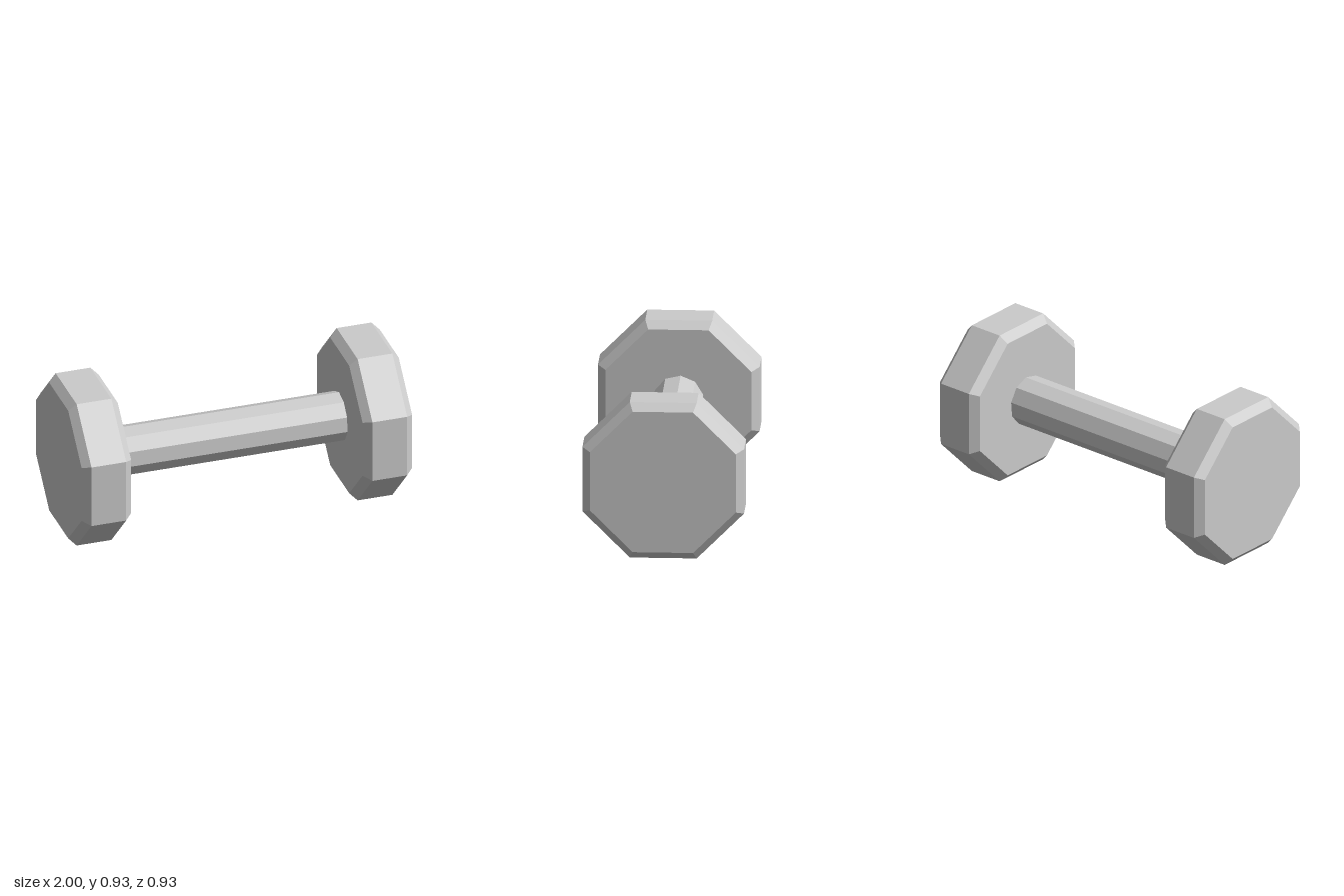
import * as THREE from 'three';

const CENTER_Y = 0.465;
const deg = THREE.MathUtils.degToRad;

export function createModel() {
  const group = new THREE.Group();
  const material = new THREE.MeshStandardMaterial({ color: 0xcccccc, flatShading: true });

  const add = (name, geometry, x) => {
    geometry.rotateZ(-Math.PI / 2); // lay the axis along x
    const mesh = new THREE.Mesh(geometry, material);
    mesh.name = name;
    mesh.position.set(x, CENTER_Y, 0);
    group.add(mesh);
  };

  // Ten-sided grip bar, open where it meets the weights
  add('gripBar', new THREE.CylinderGeometry(0.147, 0.147, 1.4, 10, 1, true, deg(-95)), 0);

  // Octagonal weights with bevelled rims; radii are given across the flats
  const toCorner = 1 / Math.cos(Math.PI / 8);
  const profile = [[0, -0.15], [0.42, -0.15], [0.465, -0.105], [0.465, 0.105], [0.42, 0.15], [0, 0.15]]
    .map(([r, h]) => new THREE.Vector2(r * toCorner, h));
  for (const [name, side] of [['leftWeight', 1], ['rightWeight', -1]]) {
    add(name, new THREE.LatheGeometry(profile, 8, Math.PI / 8), side * 0.85);
  }

  return group;
}
